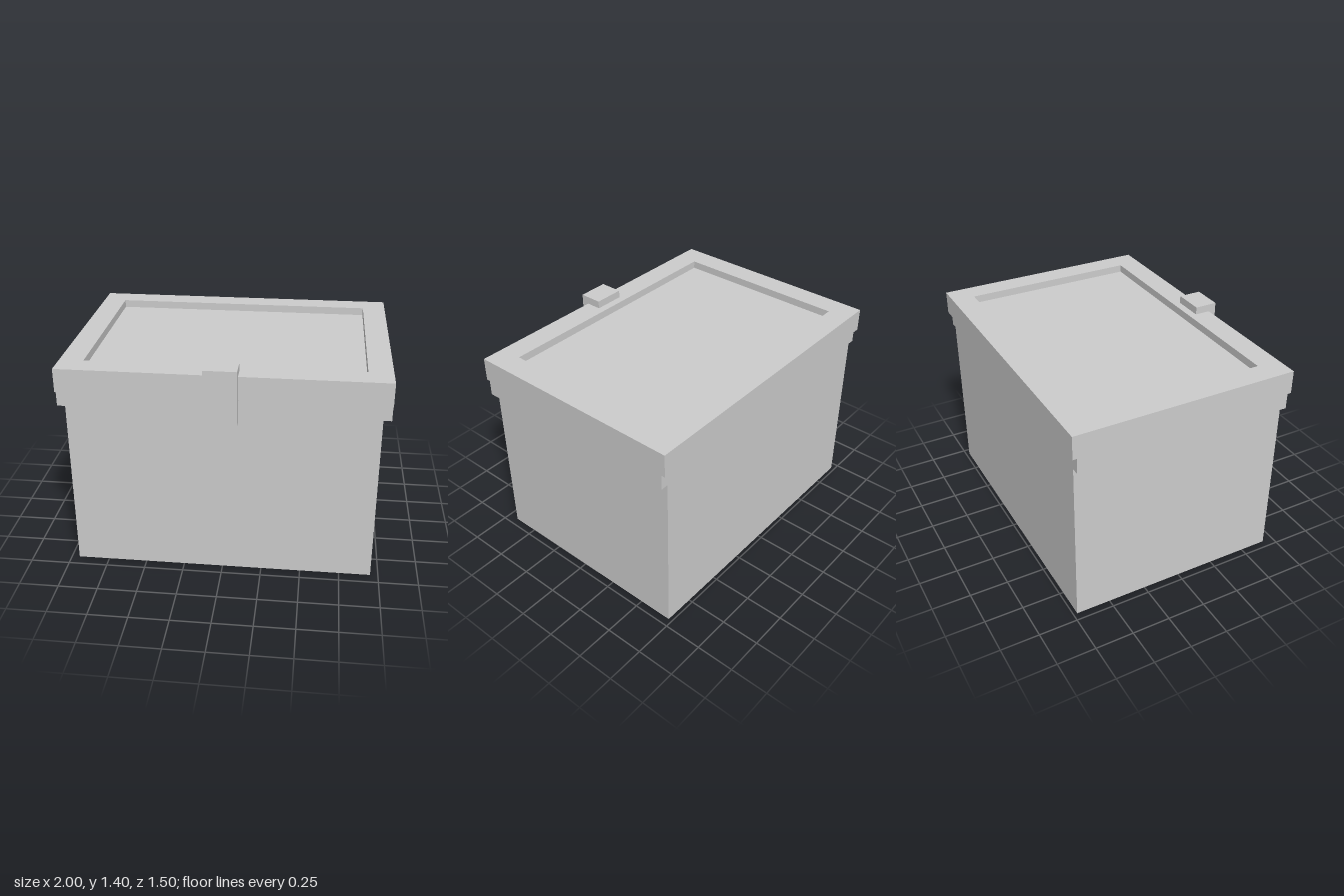
import * as THREE from 'three';

const material = new THREE.MeshStandardMaterial({ color: 0xcccccc, flatShading: true });

// The chest and lid sit slightly back so the latch stays inside the depth.
const CENTER_Z = -0.025;

function addMesh(group, name, geometry, x, y, z) {
  const mesh = new THREE.Mesh(geometry, material);
  mesh.name = name;
  mesh.position.set(x, y, z);
  group.add(mesh);
  return mesh;
}

function rectangle(PathType, halfWidth, halfHeight) {
  return new PathType([
    [-halfWidth, -halfHeight], [halfWidth, -halfHeight],
    [halfWidth, halfHeight], [-halfWidth, halfHeight],
  ].map(([x, y]) => new THREE.Vector2(x, y)));
}

export function createModel() {
  const chest = new THREE.Group();
  chest.name = 'chest';

  // Body: front outline with a ledge along the top of both sides
  const half = [[0.95, 0], [0.95, 1.1], [1, 1.1], [1, 1.2]];
  const outline = [...half, ...half.map(([x, y]) => [-x, y]).reverse()];
  const bodyShape = new THREE.Shape(outline.map(([x, y]) => new THREE.Vector2(x, y)));
  const bodyGeometry = new THREE.ExtrudeGeometry(bodyShape, { depth: 1.4, bevelEnabled: false });
  addMesh(chest, 'body', bodyGeometry, 0, 0, CENTER_Z - 0.7);

  // Lid: a frame around a sunken panel
  const lid = new THREE.Group();
  lid.name = 'lid';
  chest.add(lid);
  const frameShape = rectangle(THREE.Shape, 1, 0.725);
  frameShape.holes.push(rectangle(THREE.Path, 0.85, 0.575));
  const frameGeometry = new THREE.ExtrudeGeometry(frameShape, { depth: 0.15, bevelEnabled: false });
  frameGeometry.rotateX(-Math.PI / 2);
  addMesh(lid, 'lidFrame', frameGeometry, 0, 1.2, CENTER_Z);
  addMesh(lid, 'lidPanel', new THREE.BoxGeometry(1.7, 0.1, 1.15), 0, 1.25, CENTER_Z);

  // Latch: a block across the front edge of the lid
  addMesh(chest, 'latch', new THREE.BoxGeometry(0.2, 0.35, 0.15), 0, 1.225, 0.675);

  return chest;
}
